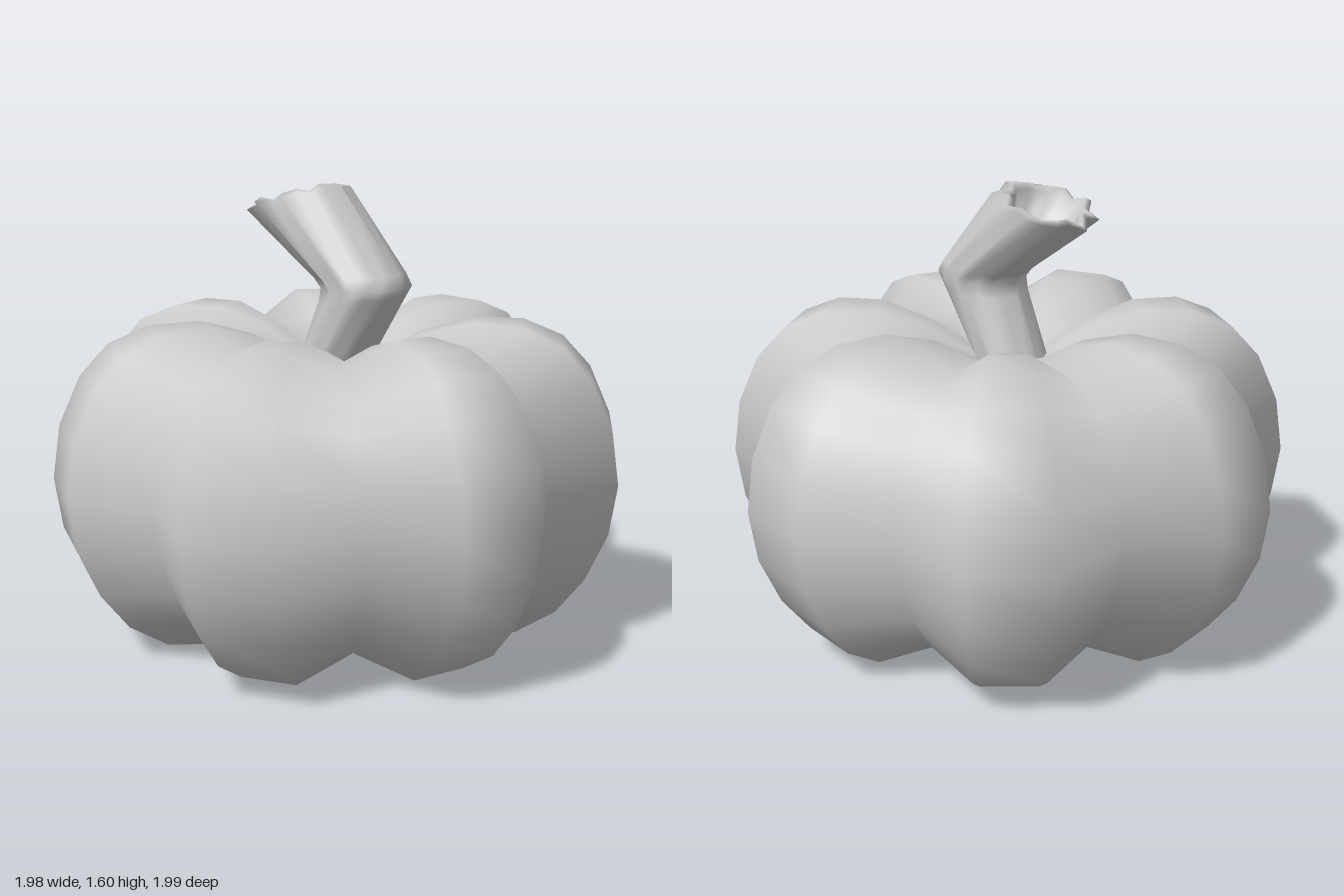
import * as THREE from 'three';
import { mergeVertices } from 'three/addons/utils/BufferGeometryUtils.js';

const material = new THREE.MeshStandardMaterial({ color: 0xcccccc });
const LOBES = 7;
const RIDGES = 10;

// Ribbed body: a turned profile whose every third column is pulled in to a groove
function makeBody() {
  const profile = [
    [0, 0.14], [0.14, 0.11], [0.3, 0.04], [0.48, 0], [0.66, 0.03], [0.8, 0.12], [0.9, 0.25],
    [0.975, 0.42], [1.002, 0.6], [0.975, 0.79], [0.9, 0.96], [0.8, 1.07], [0.66, 1.13],
    [0.48, 1.14], [0.3, 1.09], [0.14, 1.0], [0, 0.96],
  ].map(([r, y]) => new THREE.Vector2(r, y));
  const geo = new THREE.LatheGeometry(profile, LOBES * 3, THREE.MathUtils.degToRad(94.2));
  const pos = geo.attributes.position;
  for (let i = 0; i < pos.count; i++) {
    const column = Math.floor(i / profile.length);
    if (column % 3) continue;
    const { x: r, y } = profile[i % profile.length];
    const fade = Math.min(1, r / 0.45);
    const squeeze = y > 0.6 ? 0.18 : 0.125;
    pos.setXYZ(i, pos.getX(i) * 0.832, y + (0.6 - y) * squeeze * fade, pos.getZ(i) * 0.832);
  }
  geo.deleteAttribute('uv');
  geo.deleteAttribute('normal');
  const body = mergeVertices(geo, 1e-4);
  body.computeVertexNormals();
  return body;
}

// Bent stem: star-shaped rings joined from the base, over the rim, into the hollow end
function makeStem() {
  const sides = RIDGES * 2;
  // centre x, y, z, radius, groove ratio, slope along x, rim jaggedness
  const rings = [
    [-0.02, 0.94, 0.01, 0.13, 0.86, 0.1, 0],
    [0.125, 1.22, 0.01, 0.152, 0.87, 0.1, 0],
    [0.14, 1.26, 0.01, 0.157, 0.87, 0.04, 0],
    [0.115, 1.295, 0.01, 0.158, 0.87, 0.08, 0],
    [-0.155, 1.55, 0.01, 0.182, 0.83, 0.29, 0.01],
    [-0.16, 1.56, 0.01, 0.155, 0.83, 0.29, 0.012],
    [-0.158, 1.545, 0.01, 0.13, 0.86, 0.29, 0.008],
    [-0.13, 1.48, 0.01, 0.105, 0.92, 0.29, 0],
    [-0.115, 1.46, 0.01, 0.001, 1, 0.29, 0],
  ];
  const verts = [];
  const index = [];
  rings.forEach(([cx, cy, cz, radius, groove, slope, jag], k) => {
    for (let j = 0; j < sides; j++) {
      const a = (j / sides) * Math.PI * 2;
      const r = radius * (j % 2 ? groove : 1);
      const dx = r * Math.cos(a);
      verts.push(cx + dx, cy + slope * dx + jag * Math.sin(j * 2.3), cz + r * Math.sin(a));
      if (k === rings.length - 1) continue;
      const p = k * sides + j;
      const q = k * sides + ((j + 1) % sides);
      index.push(p, p + sides, q, q, p + sides, q + sides);
    }
  });
  const geo = new THREE.BufferGeometry();
  geo.setAttribute('position', new THREE.Float32BufferAttribute(verts, 3));
  geo.setIndex(index);
  geo.computeVertexNormals();
  return geo;
}

export function createModel() {
  const group = new THREE.Group();
  group.name = 'pumpkin';

  const body = new THREE.Mesh(makeBody(), material);
  body.name = 'body';
  body.position.x = 0.005;

  const stem = new THREE.Mesh(makeStem(), material);
  stem.name = 'stem';

  group.add(body, stem);
  return group;
}
